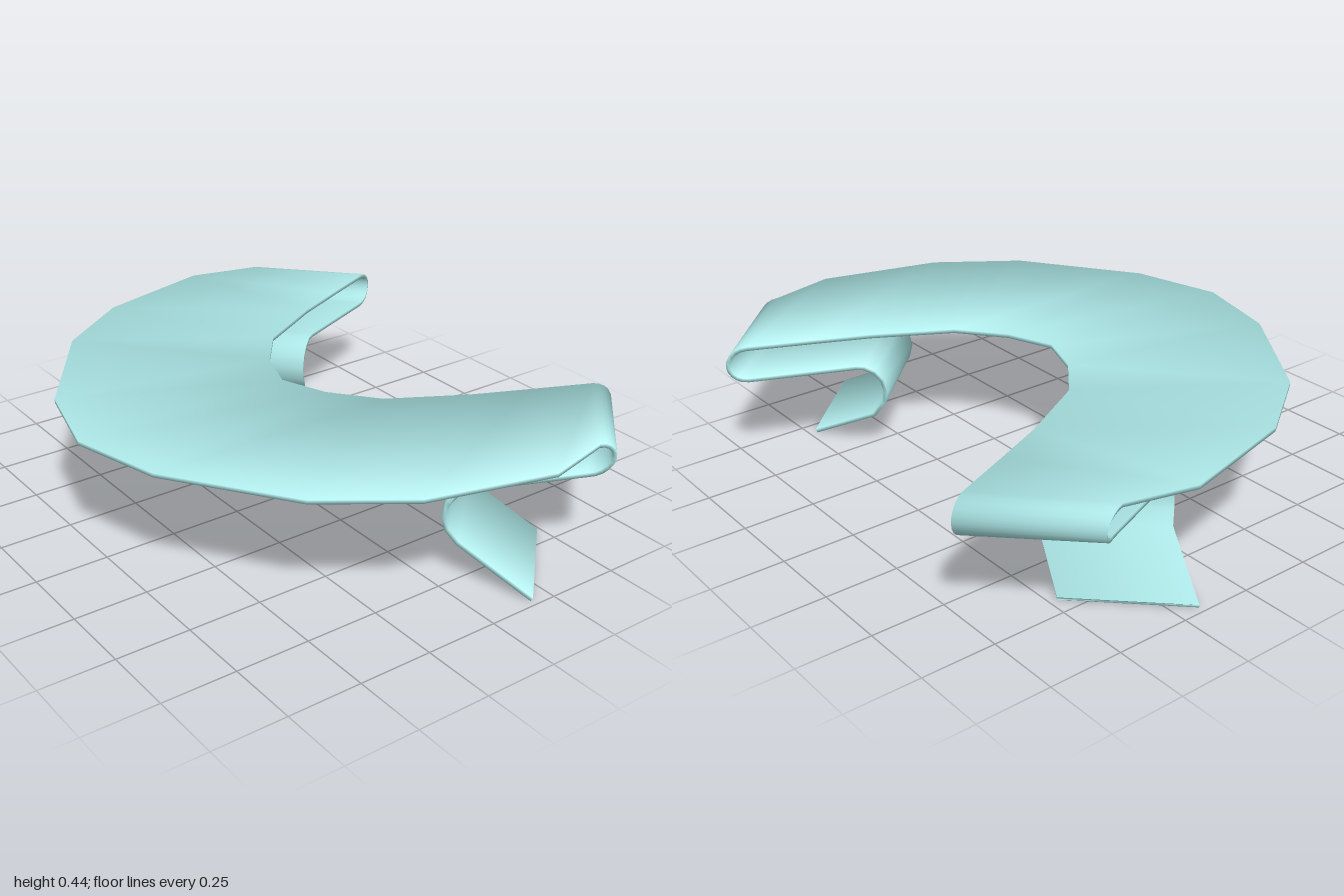
import * as THREE from 'three';

const THICK = 0.014;

// One half of the folded sheet: stations of [inner x, inner z, outer x, outer z, y]
function halfStations() {
  const top = 0.433, low = 0.317;
  const list = [
    [-0.06, 0, -0.82, 0, top],
    [0, 0.16, -0.74, 0.31, top],
    [0.12, 0.31, -0.47, 0.70, top],
    [0.37, 0.45, -0.20, 0.89, top],
    [0.56, 0.535, 0.22, 1.0, top],
  ];
  // rolled end, turning the sheet under itself
  const steps = 10, mid = (top + low) / 2, r = (top - low) / 2;
  for (let i = 0; i <= steps; i++) {
    const a = (Math.PI * i) / steps, s = Math.sin(a);
    const x = 0.06 * s, z = 0.027 * s;
    list.push([0.755 + x, 0.62 + z, 0.455 + x, 0.942 - 0.035 * (i / steps) + z, mid + r * Math.cos(a)]);
  }
  // return run, downward bend and splayed foot: outer x, inner z, y
  const leg = [
    [0.12, 0.48, low], [0.095, 0.468, 0.313], [0.066, 0.447, 0.295], [0.045, 0.432, 0.262],
    [0.037, 0.427, 0.22], [0.044, 0.435, 0.175], [0.07, 0.46, 0.13], [0.175, 0.69, 0.007],
  ];
  for (const [x, z, y] of leg) list.push([x + 0.3, z, x, z + 0.29, y]);
  return list;
}

// Sweeps a thin rectangular section through the stations, with softened edge normals
function sheetGeometry(stations) {
  const inner = stations.map((s) => new THREE.Vector3(s[0], s[4], s[1]));
  const outer = stations.map((s) => new THREE.Vector3(s[2], s[4], s[3]));
  const centre = inner.map((p, i) => p.clone().add(outer[i]).multiplyScalar(0.5));
  const pos = [], nor = [], idx = [], last = stations.length - 1;
  const unit = (a, b) => b.clone().sub(a).normalize();

  for (let i = 0; i <= last; i++) {
    const before = unit(centre[Math.max(i - 1, 0)], centre[Math.max(i, 1)]);
    const after = unit(centre[Math.min(i, last - 1)], centre[Math.min(i + 1, last)]);
    const across = unit(inner[i], outer[i]);
    const up = across.clone().cross(before.add(after)).normalize();
    const corners = [[outer[i], 1, 1], [inner[i], -1, 1], [inner[i], -1, -1], [outer[i], 1, -1]];
    for (const [p, side, face] of corners) {
      pos.push(...p.clone().addScaledVector(up, (face * THICK) / 2).toArray());
      nor.push(...up.clone().multiplyScalar(face).addScaledVector(across, side * 0.8).normalize().toArray());
    }
    if (i === last) break;
    for (let k = 0; k < 4; k++) {
      const a = i * 4 + k, b = i * 4 + ((k + 1) % 4);
      idx.push(a, a + 4, b + 4, a, b + 4, b);
    }
  }
  // end caps
  const e = last * 4;
  idx.push(0, 1, 2, 0, 2, 3, e, e + 2, e + 1, e, e + 3, e + 2);

  const geo = new THREE.BufferGeometry();
  geo.setAttribute('position', new THREE.Float32BufferAttribute(pos, 3));
  geo.setAttribute('normal', new THREE.Float32BufferAttribute(nor, 3));
  geo.setIndex(idx);
  return geo;
}

export function createModel() {
  const group = new THREE.Group();
  group.name = 'curvedTable';

  // the whole table is one ribbon, mirrored about its middle
  const half = halfStations();
  const mirrored = half.slice(1).reverse().map(([ix, iz, ox, oz, y]) => [ix, -iz, ox, -oz, y]);
  const material = new THREE.MeshStandardMaterial({ color: 0xb2eeee });
  const sheet = new THREE.Mesh(sheetGeometry([...mirrored, ...half]), material);
  sheet.name = 'foldedSheet';
  group.add(sheet);
  return group;
}
